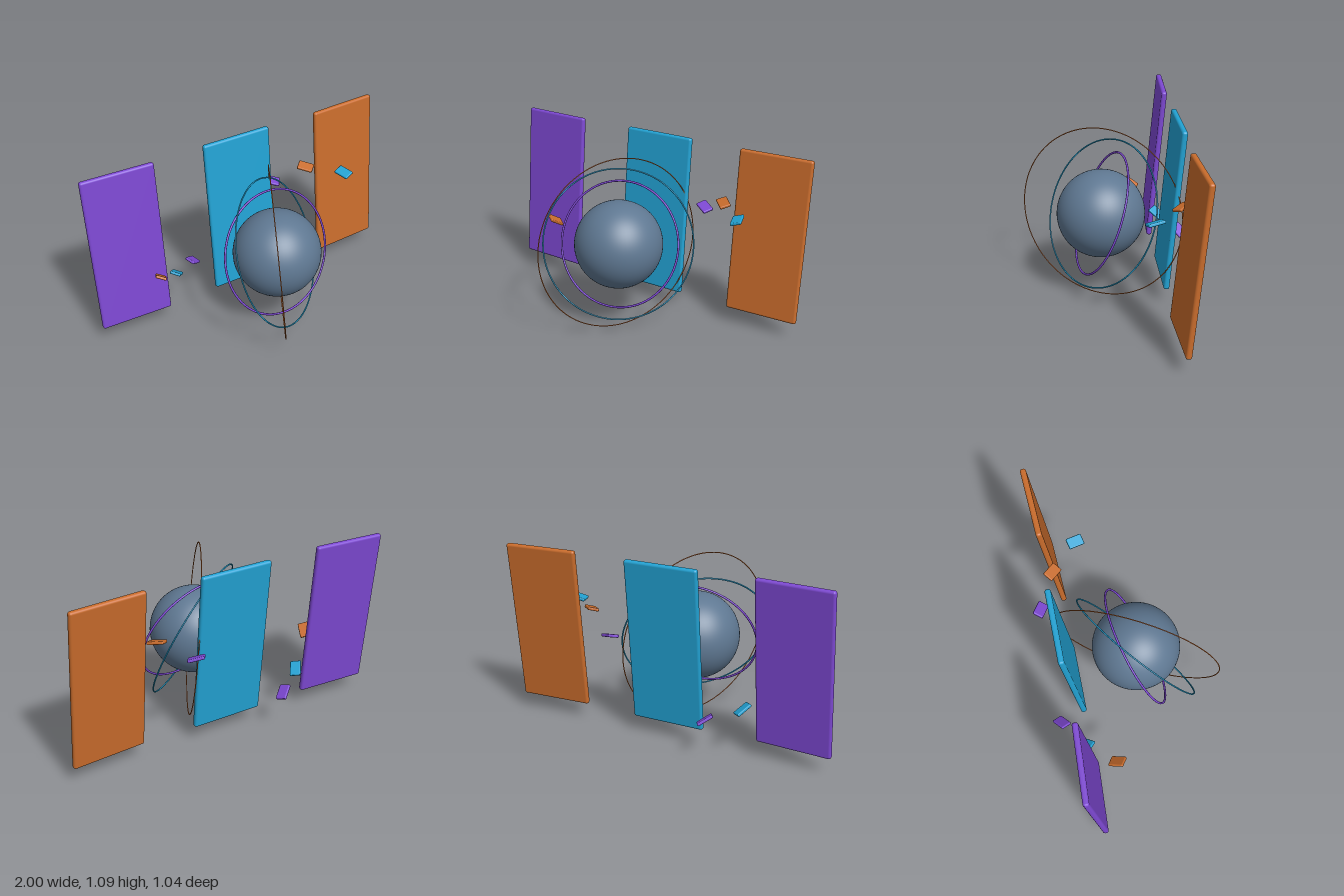
import * as THREE from 'three';
import { RoundedBoxGeometry } from 'three/addons/geometries/RoundedBoxGeometry.js';

const mat = (name, color) => {
  const m = new THREE.MeshStandardMaterial({ color });
  m.name = name;
  return m;
};

export function createModel() {
  const group = new THREE.Group();
  const slate = mat('slate', 0x5f7892);
  const purple = mat('purple', 0x7d48d2);
  const blue = mat('blue', 0x22a2d3);
  const orange = mat('orange', 0xc96c2c);
  const centre = new THREE.Vector3(0, 0.527, 0.057);

  const add = (name, geometry, material, position) => {
    const mesh = new THREE.Mesh(geometry, material);
    mesh.name = name;
    mesh.position.copy(position);
    group.add(mesh);
    return mesh;
  };

  // Central globe
  add('globe', new THREE.SphereGeometry(0.265, 64, 40), slate, centre);

  // Orbit rings: radius, tube, plane normal
  const zAxis = new THREE.Vector3(0, 0, 1);
  const rings = [
    ['innerRing', purple, 0.377, 0.0065, [0.14, 0.36, 0.92]],
    ['middleRing', blue, 0.449, 0.0045, [0.542, 0.396, 0.741]],
    ['outerRing', orange, 0.52, 0.003, [0.874, 0.08, 0.48]],
  ];
  for (const [name, material, radius, tube, n] of rings) {
    const ring = add(name, new THREE.TorusGeometry(radius, tube, 10, 128), material, centre);
    ring.quaternion.setFromUnitVectors(zAxis, new THREE.Vector3(...n).normalize());
  }

  // Backward-leaning panels, the outer two turned slightly
  const panelGeometry = new RoundedBoxGeometry(0.447, 0.996, 0.035, 4, 0.014);
  const panels = [
    ['rightPanel', purple, -1],
    ['centrePanel', blue, 0],
    ['leftPanel', orange, 1],
  ];
  for (const [name, material, side] of panels) {
    const panel = add(name, panelGeometry, material, new THREE.Vector3(side * 0.775, 0.603, -0.36));
    panel.rotation.set(-0.085, side * 0.05, 0);
  }

  // Floating tiles: position, long direction, short direction
  const tileGeometry = new RoundedBoxGeometry(0.098, 0.018, 0.066, 3, 0.006);
  const tiles = [
    [orange, [0.475, 0.757, -0.353], [0.064, -0.016, 0.067], [0.05, 0.016, -0.034]],
    [blue, [0.651, 0.744, -0.185], [0.027, -0.012, 0.096], [-0.064, -0.02, 0.019]],
    [purple, [0.293, 0.656, -0.463], [0.08, -0.026, 0.048], [0.032, 0.016, -0.048]],
    [orange, [-0.654, 0.449, -0.188], [-0.032, 0.05, 0.078], [0.048, -0.02, 0.029]],
    [blue, [-0.478, 0.304, -0.347], [0.048, -0.047, -0.064], [0.043, -0.013, 0.043]],
    [purple, [-0.302, 0.256, -0.468], [0.064, -0.044, -0.048], [0.032, -0.021, 0.048]],
  ];
  tiles.forEach(([material, position, long, short], i) => {
    const tile = add(`tile${i + 1}`, tileGeometry, material, new THREE.Vector3(...position));
    const x = new THREE.Vector3(...long).normalize();
    const y = new THREE.Vector3(...short).cross(x).normalize();
    const z = new THREE.Vector3().crossVectors(x, y);
    tile.quaternion.setFromRotationMatrix(new THREE.Matrix4().makeBasis(x, y, z));
  });

  return group;
}
